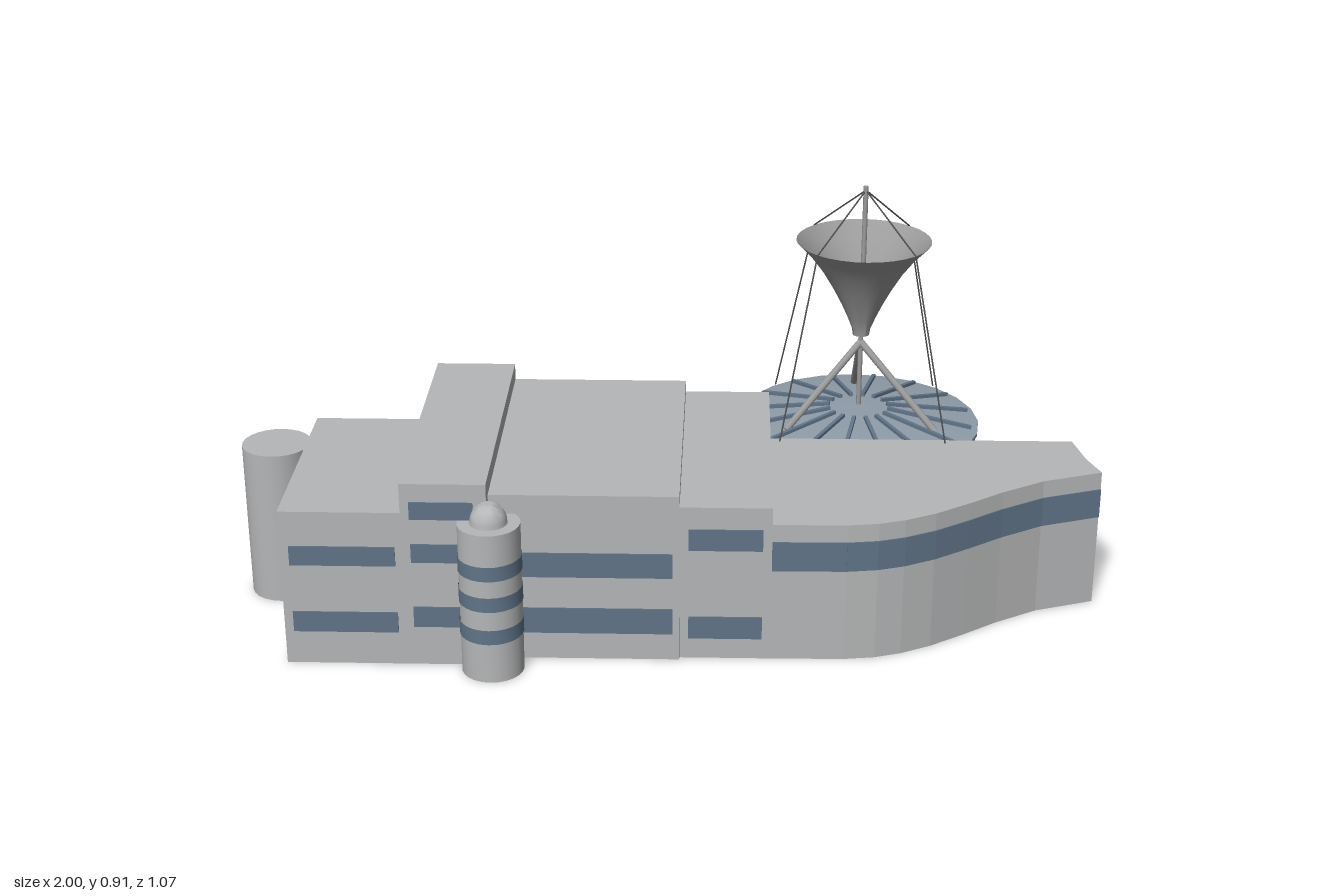
import * as THREE from 'three';
import { toCreasedNormals } from 'three/addons/utils/BufferGeometryUtils.js';

const mat = (name, color) => {
  const m = new THREE.MeshStandardMaterial({ color, side: THREE.DoubleSide });
  m.name = name;
  return m;
};

export function createModel() {
  const wall = mat('concreteGrey', 0xb5b6b7);
  const glass = mat('windowBlue', 0x607488);
  const slate = mat('drumSlate', 0x8f9ca8);
  const metal = mat('antennaGrey', 0x9c9c9c);
  const wire = mat('wireGrey', 0x555555);
  const model = new THREE.Group();

  const add = (name, geo, material, parent = model) => {
    const mesh = new THREE.Mesh(geo, material);
    mesh.name = name;
    parent.add(mesh);
    return mesh;
  };
  const group = (name, x = 0, z = 0) => {
    const g = new THREE.Group();
    g.name = name;
    g.position.set(x, 0, z);
    model.add(g);
    return g;
  };

  // Upright prism over an [x, z] outline, roofed but open underneath
  const prism = (name, outline, h) => {
    const shape = new THREE.Shape(outline.map(([x, z]) => new THREE.Vector2(x, -z)));
    const geo = new THREE.ExtrudeGeometry(shape, { depth: h, bevelEnabled: false }).toNonIndexed();
    geo.rotateX(-Math.PI / 2);
    const pos = geo.attributes.position;
    const kept = [];
    for (let i = 0; i < pos.count; i += 3) {
      if (pos.getY(i) + pos.getY(i + 1) + pos.getY(i + 2) < 1e-5) continue;
      for (let k = i; k < i + 3; k++) kept.push(pos.getX(k), pos.getY(k), pos.getZ(k));
    }
    const open = new THREE.BufferGeometry();
    open.setAttribute('position', new THREE.Float32BufferAttribute(kept, 3));
    open.computeVertexNormals();
    return add(name, open, wall);
  };
  const block = (name, x0, x1, z0, z1, h) =>
    prism(name, [[x0, z0], [x0, z1], [x1, z1], [x1, z0]], h);

  // Window strip: a thin plate set in the wall between two ground points
  const strip = (name, [ax, az], [bx, bz], y0, y1) => {
    const len = Math.hypot(bx - ax, bz - az);
    const m = add(name, new THREE.BoxGeometry(len, y1 - y0, 0.005), glass);
    m.position.set((ax + bx) / 2, (y0 + y1) / 2, (az + bz) / 2);
    m.rotation.y = -Math.atan2(bz - az, bx - ax);
  };

  const lathe = (name, pts, seg, material, parent, crease = 0.5) =>
    add(name, toCreasedNormals(new THREE.LatheGeometry(
      pts.map(([r, y]) => new THREE.Vector2(r, y)), seg), crease), material, parent);

  const rod = (name, a, b, r, material, parent, seg = 8) => {
    const p = new THREE.Vector3(...a), q = new THREE.Vector3(...b);
    const m = add(name, new THREE.CylinderGeometry(r, r, p.distanceTo(q), seg), material, parent);
    m.position.copy(p).add(q).multiplyScalar(0.5);
    m.quaternion.setFromUnitVectors(new THREE.Vector3(0, 1, 0), q.sub(p).normalize());
  };

  // Main building
  block('leftBlock', -0.85, -0.58, -0.06, 0.455, 0.375);
  block('ridgeBlock', -0.58, -0.39, -0.245, 0.455, 0.445);
  block('middleBlock', -0.39, 0.03, -0.245, 0.42, 0.405);
  block('rightBlock', 0.03, 0.235, -0.25, 0.41, 0.375);
  block('rearAnnex', -0.92, -0.455, -0.315, -0.06, 0.2);

  // Window rows on the front and back faces: x range, faces, height ranges
  const rows = [
    [-0.83, -0.595, [0.455], [[0.08, 0.13], [0.245, 0.292]]],
    [-0.56, -0.42, [0.455, -0.245], [[0.095, 0.145], [0.255, 0.3], [0.36, 0.402]]],
    [-0.37, 0.015, [0.42], [[0.065, 0.128], [0.205, 0.265]]],
    [0.05, 0.215, [0.41, -0.25], [[0.05, 0.105], [0.27, 0.322]]],
    [-0.89, -0.6, [-0.315], [[0.08, 0.135]]],
  ];
  for (const [x0, x1, faces, heights] of rows)
    for (const z of faces)
      for (const [y0, y1] of heights) strip('windowRow', [x0, z], [x1, z], y0, y1);

  // Window rows on the left-hand end faces
  strip('annexSideWindows', [-0.92, -0.29], [-0.92, -0.085], 0.08, 0.135);
  strip('ridgeSideWindows', [-0.58, -0.22], [-0.58, 0.43], 0.385, 0.425);
  strip('ridgeRearSideWindows', [-0.58, -0.22], [-0.58, -0.08], 0.255, 0.3);
  for (const y of [0.08, 0.245]) strip('endWindows', [-0.85, -0.03], [-0.85, 0.43], y, y + 0.048);

  // Curved wing with its continuous window band
  const curve = [[0.235, 0.41], [0.4, 0.408], [0.47, 0.398], [0.53, 0.378], [0.6, 0.342],
    [0.68, 0.287], [0.76, 0.228], [0.86, 0.166], [1, 0.115]];
  prism('curvedWing', [...curve, [0.974, 0.04], [0.955, -0.06], [0.235, -0.06]], 0.335);
  for (let i = 0; i < curve.length - 1; i++) strip('wingWindowBand', curve[i], curve[i + 1], 0.222, 0.293);
  prism('lowEndBlock', [[0.7, -0.06], [0.955, -0.06], [0.965, -0.195], [0.78, -0.44], [0.72, -0.4]], 0.086);

  // Low rear wing with a rounded end
  const rounded = [[-0.25, -0.245], [-0.11, -0.245]];
  for (let i = 0; i <= 12; i++) {
    const a = Math.PI * i / 12;
    rounded.push([-0.18 + 0.07 * Math.cos(a), -0.465 - 0.07 * Math.sin(a)]);
  }
  prism('roundedRearWing', rounded, 0.145);

  // Round stair tower at the end
  lathe('endTower', [[0.08, 0], [0.08, 0.375], [0, 0.375]], 24, wall, group('endTowerGroup', -0.92, 0.087));

  // Front tower with window rings and dome
  const tower = group('frontTower', -0.385, 0.465);
  lathe('towerBody', [[0.07, 0], [0.07, 0.36], [0, 0.36]], 24, wall, tower);
  for (const y of [0.095, 0.175, 0.25]) lathe('towerWindowRing', [[0.0715, y], [0.0715, y + 0.035]], 24, glass, tower);
  const dome = [];
  for (let i = 0; i <= 8; i++) {
    const a = Math.PI / 2 * i / 8;
    dome.push([0.042 * Math.cos(a), 0.36 + 0.048 * Math.sin(a)]);
  }
  lathe('towerDome', dome, 20, wall, tower, 1);

  // Round hall with window ring, low conical roof and radial ribs
  const hall = group('roundHall', 0.455, -0.24);
  lathe('hallDrum', [[0.288, 0], [0.288, 0.3]], 24, slate, hall);
  lathe('hallWindowRing', [[0.291, 0.235], [0.291, 0.286]], 24, glass, hall);
  lathe('hallRoof', [[0.288, 0.3], [0.296, 0.3], [0.296, 0.308], [0, 0.352]], 24, slate, hall);
  for (let i = 0; i < 16; i++) {
    const pivot = new THREE.Group();
    pivot.name = 'roofRib';
    pivot.rotation.y = (i + 0.5) * Math.PI / 8;
    hall.add(pivot);
    const rib = add('ribBar', new THREE.BoxGeometry(0.21, 0.01, 0.009), glass, pivot);
    rib.position.set(0.175, 0.329, 0);
    rib.rotation.z = -Math.atan2(0.044, 0.296);
  }

  // Horn antenna on a tripod
  rod('mast', [0, 0.31, 0], [0, 0.91, 0], 0.006, metal, hall);
  lathe('horn', [[0.02, 0.535], [0.022, 0.55], [0.034, 0.58], [0.05, 0.615], [0.071, 0.655],
    [0.098, 0.7], [0.128, 0.74], [0.162, 0.775]], 32, metal, hall, 0.9);
  for (const [x, z] of [[0, -0.205], [0.18, 0.105], [-0.18, 0.105]])
    rod('tripodLeg', [0, 0.515, 0], [x, 0.325, z], 0.009, metal, hall);

  // Guy wires from the mast top, over the horn rim, to the roof edge
  for (const sx of [-1, 1]) for (const sz of [-1, 1]) {
    const rim = [0.115 * sx, 0.775, 0.115 * sz];
    rod('upperGuyWire', [0, 0.9, 0], rim, 0.002, wire, hall, 5);
    rod('lowerGuyWire', rim, [0.2 * sx, 0.318, 0.2 * sz], 0.002, wire, hall, 5);
  }

  return model;
}
